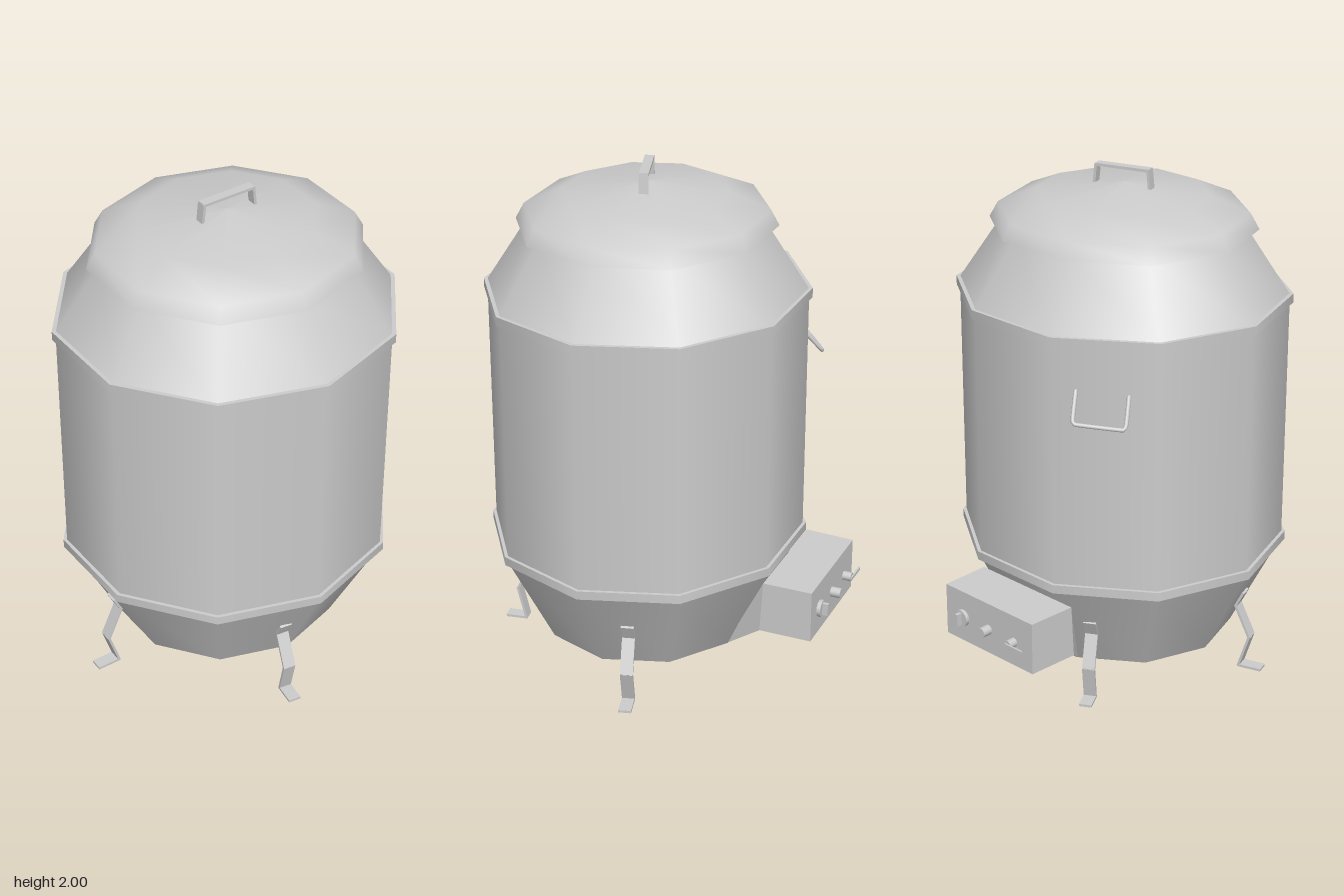
import * as THREE from 'three';

const SIDES = 10;
const START = THREE.MathUtils.degToRad(85.5);
const DEPTH = 0.945; // the barrel is slightly oval, narrower from front to back
const mat = new THREE.MeshStandardMaterial({ color: 0xcccccc });
const matDouble = new THREE.MeshStandardMaterial({ color: 0xcccccc, side: THREE.DoubleSide });
const matFlat = new THREE.MeshStandardMaterial({ color: 0xcccccc, flatShading: true });

function add(parent, name, geometry, material = mat) {
  const mesh = new THREE.Mesh(geometry, material);
  mesh.name = name;
  parent.add(mesh);
  return mesh;
}

// Ten-sided oval shell turned from [radius, height] pairs
function turned(profile) {
  const pts = profile.map(([r, y]) => new THREE.Vector2(r, y));
  return new THREE.LatheGeometry(pts, SIDES, START, Math.PI * 2).scale(1, 1, DEPTH);
}

// Group whose +x points outward at the given angle around the body
function outward(parent, name, degrees) {
  const g = new THREE.Group();
  g.name = name;
  g.rotation.y = -THREE.MathUtils.degToRad(degrees);
  parent.add(g);
  return g;
}

// Bent flat bar following [x, y] points, its width along z
function strap(parent, name, points, width, thick) {
  for (let i = 0; i < points.length - 1; i++) {
    const [x0, y0] = points[i], [x1, y1] = points[i + 1];
    const len = Math.hypot(x1 - x0, y1 - y0) + thick * 0.6;
    const bar = add(parent, name, new THREE.BoxGeometry(len, thick, width));
    bar.position.set((x0 + x1) / 2, (y0 + y1) / 2, 0);
    bar.rotation.z = Math.atan2(y1 - y0, x1 - x0);
  }
}

// Control housing: sections of [bottom x, top x, z min, z max, bottom y, top y]
function housingGeometry() {
  const sections = [
    [0.77, 0.77, -0.268, 0.202, 0.245, 0.455],
    [0.56, 0.572, -0.278, 0.202, 0.245, 0.455],
    [0.4, 0.4, -0.14, 0.14, 0.115, 0.12],
  ].map(([xb, xt, z0, z1, y0, y1]) => [[xb, y0, z1], [xb, y0, z0], [xt, y1, z0], [xt, y1, z1]]);
  const pos = [];
  const quad = (a, b, c, d) => pos.push(...a, ...b, ...c, ...a, ...c, ...d);
  quad(...sections[0]);
  for (let s = 0; s < 2; s++) {
    for (let i = 0; i < 4; i++) {
      const j = (i + 1) % 4;
      quad(sections[s][i], sections[s + 1][i], sections[s + 1][j], sections[s][j]);
    }
  }
  const g = new THREE.BufferGeometry();
  g.setAttribute('position', new THREE.Float32BufferAttribute(pos, 3));
  g.computeVertexNormals();
  return g;
}

// Round knob pointing outward along x
function knob(parent, name, radius, x0, x1, z) {
  const geo = new THREE.CylinderGeometry(radius, radius, x1 - x0, 12).rotateZ(-Math.PI / 2);
  add(parent, name, geo).position.set((x0 + x1) / 2, 0.345, z);
}

export function createModel() {
  const model = new THREE.Group();
  model.name = 'barrelOven';
  const body = new THREE.Group();
  body.name = 'body';
  body.position.z = 0.11;
  model.add(body);

  // Barrel: each band is its own shell so the horizontal edges stay sharp
  add(body, 'base', turned([[0, 0.117], [0.45, 0.117]]));
  add(body, 'lowerCone', turned([[0.45, 0.117], [0.648, 0.5]]));
  add(body, 'wall', turned([[0.648, 0.5], [0.648, 1.52]]));
  add(body, 'upperCone', turned([[0.648, 1.525], [0.472, 1.785]]), matDouble);

  // Raised rings at both ends of the wall
  for (const [name, y0, y1] of [['lowerRing', 0.495, 0.53], ['upperRing', 1.492, 1.528]]) {
    add(body, name, turned([[0.635, y0], [0.662, y0]]));
    add(body, name, turned([[0.662, y0], [0.662, y1]]));
    add(body, name, turned([[0.662, y1], [0.635, y1]]));
  }

  // Domed lid
  add(body, 'lid', turned([[0.524, 1.775], [0.49, 1.835], [0.337, 1.9], [0, 1.937]]));
  add(body, 'lidUnderside', turned([[0, 1.776], [0.524, 1.775]]));

  // Lid handle
  const lidHandle = outward(body, 'lidHandle', -14);
  strap(lidHandle, 'lidHandleBar',
    [[-0.115, 1.915], [-0.107, 1.994], [0.107, 1.994], [0.115, 1.915]], 0.036, 0.011);

  // Drooping wire handle on the wall
  const wire = outward(body, 'sideHandle', 239.5);
  const path = new THREE.CatmullRomCurve3([
    [0.59, 1.315, -0.11], [0.66, 1.232, -0.11], [0.674, 1.215, -0.1],
    [0.674, 1.226, 0.075], [0.66, 1.243, 0.085], [0.59, 1.325, 0.085],
  ].map((p) => new THREE.Vector3(...p)), false, 'catmullrom', 0.15);
  add(wire, 'sideHandleWire', new THREE.TubeGeometry(path, 40, 0.008, 8));

  // Bent strap legs with flat feet: [angle, shift of the top, reach of knee and toe]
  for (const [degrees, top, reach] of [[84, -0.025, 0], [-11, 0, 0.02], [167, 0, 0.02], [245, -0.025, -0.015]]) {
    const leg = outward(body, 'leg', degrees);
    strap(leg, 'legStrap', [
      [0.54 + top, 0.33], [0.51 + top, 0.27], [0.55 + reach, 0.14],
      [0.518 + reach / 2, 0.006], [0.6 + reach, 0.006],
    ], 0.05, 0.01);
  }

  // Control housing with three knobs
  const controls = outward(body, 'controls', 274.5);
  add(controls, 'controlHousing', housingGeometry(), matFlat);
  knob(controls, 'dial', 0.034, 0.765, 0.785, 0.11);
  add(controls, 'dialGrip', new THREE.BoxGeometry(0.025, 0.05, 0.014)).position.set(0.795, 0.345, 0.11);
  knob(controls, 'middleKnob', 0.02, 0.765, 0.81, -0.03);
  knob(controls, 'valve', 0.018, 0.765, 0.805, -0.17);
  add(controls, 'valveLever', new THREE.BoxGeometry(0.007, 0.012, 0.09)).position.set(0.808, 0.345, -0.205);

  return model;
}
